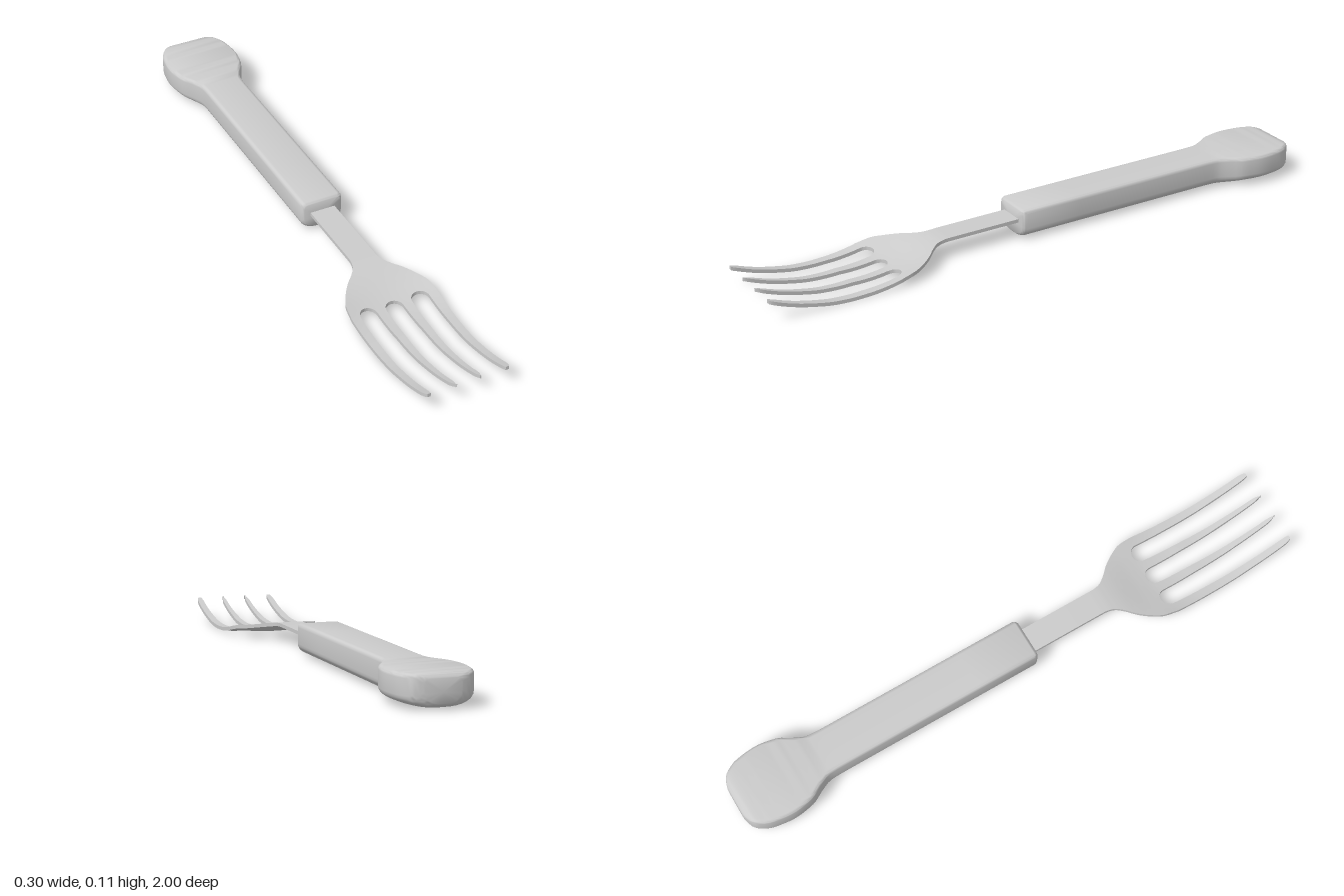
import * as THREE from 'three';
import { mergeGeometries, toCreasedNormals } from 'three/addons/utils/BufferGeometryUtils.js';

// Smooth curve through [position, value] points, without overshoot
function curve(pts) {
  const slope = i => (pts[i + 1][1] - pts[i][1]) / (pts[i + 1][0] - pts[i][0]);
  const tangent = i => {
    if (i === 0) return slope(0);
    if (i === pts.length - 1) return slope(i - 1);
    const a = slope(i - 1), b = slope(i);
    return a * b <= 0 ? 0 : (2 * a * b) / (a + b);
  };
  return z => {
    let i = 0;
    while (i < pts.length - 2 && z > pts[i + 1][0]) i++;
    const d = pts[i + 1][0] - pts[i][0];
    const t = THREE.MathUtils.clamp((z - pts[i][0]) / d, 0, 1);
    const t2 = t * t, t3 = t2 * t;
    return (2 * t3 - 3 * t2 + 1) * pts[i][1] + (t3 - 2 * t2 + t) * d * tangent(i)
      + (3 * t2 - 2 * t3) * pts[i + 1][1] + (t3 - t2) * d * tangent(i + 1);
  };
}

// Skin over rings ordered by rising z, each clockwise seen from +z
function loft(rings, skip = () => false) {
  const n = rings[0].length, last = rings.length - 1;
  const pos = rings.flat(2), idx = [];
  for (let i = 0; i < last; i++) {
    for (let j = 0; j < n; j++) {
      if (skip(i, j)) continue;
      const k = (j + 1) % n;
      const a = i * n + j, b = i * n + k;
      idx.push(a, a + n, b, b, a + n, b + n);
    }
  }
  for (const end of [0, last]) {
    const centre = pos.length / 3;
    for (let c = 0; c < 3; c++) pos.push(rings[end].reduce((s, p) => s + p[c], 0) / n);
    for (let j = 0; j < n; j++) {
      const a = end * n + j, b = end * n + (j + 1) % n;
      if (end === 0) idx.push(centre, a, b);
      else idx.push(centre, b, a);
    }
  }
  const g = new THREE.BufferGeometry();
  g.setAttribute('position', new THREE.Float32BufferAttribute(pos, 3));
  g.setIndex(idx);
  return g;
}

// Handle: flat top, rounded belly, widening to a round end
function handleGeometry() {
  const width = curve([[-1, 0.055], [-0.99, 0.082], [-0.97, 0.102], [-0.93, 0.12], [-0.86, 0.128],
    [-0.79, 0.117], [-0.74, 0.09], [-0.7, 0.074], [-0.66, 0.072], [0.07, 0.072]]);
  const bottom = curve([[-1, 0.008], [-0.8, 0.008], [-0.74, 0.005], [0.07, 0.005]]);
  const inset = curve([[-1, 0.014], [-0.995, 0.007], [-0.985, 0.002], [-0.97, 0], [0.055, 0], [0.065, 0.003], [0.07, 0.008]]);
  const stations = [-1, -0.998, -0.995, -0.99, -0.985, -0.98];
  for (let z = -0.97; z < -0.645; z += 0.015) stations.push(z);
  stations.push(-0.4, -0.15, 0.055, 0.06, 0.065, 0.068, 0.07);
  const rings = stations.map(z => {
    const e = inset(z), w = width(z) - (z > 0 ? e : 0), top = 0.109 - e, low = bottom(z) + e;
    const half = [];
    // rounded top edge
    const r = 0.014;
    for (let k = 0; k <= 4; k++) {
      const a = (k / 4) * Math.PI / 2;
      half.push([w - r + r * Math.sin(a), top - r + r * Math.cos(a), z]);
    }
    // rounded belly
    const h = 0.037;
    for (let k = 0; k <= 8; k++) {
      const a = (k / 8) * Math.PI / 2;
      half.push([w * Math.pow(Math.cos(a), 0.75), low + h - h * Math.pow(Math.sin(a), 0.9), z]);
    }
    half[half.length - 1][0] = 0;
    const mirrored = half.slice(0, -1).reverse().map(([x, y, q]) => [-x, y, q]);
    return [...mirrored, ...half];
  });
  return toCreasedNormals(loft(rings), 0.75);
}

// Fork head: four ribbons that join in the palm and part into tines
function headGeometry() {
  const slotStart = 0.53, slotRound = 0.56, tip = 1;
  const profile = curve([[0.03, 0.07], [0.32, 0.07], [0.4, 0.063], [0.5, 0.046], [0.6, 0.024], [0.66, 0.017],
    [0.72, 0.015], [0.78, 0.018], [0.85, 0.03], [0.92, 0.048], [1, 0.077]]);
  const outline = curve([[0.03, 0.043], [0.34, 0.043], [0.37, 0.048], [0.4, 0.068], [0.43, 0.097],
    [0.47, 0.125], [0.51, 0.144], [0.56, 0.1505]]);
  const dish = curve([[0.03, 0], [0.36, 0], [0.52, 0.014], [0.58, 0.009], [0.68, 0]]);
  const tineHalf = z => {
    const h = THREE.MathUtils.mapLinear(Math.max(z, slotRound), slotRound, tip, 0.0155, 0.008);
    const t = Math.max(0, (z - 0.965) / 0.035);
    return Math.max(0.0012, h * Math.sqrt(Math.max(0, 1 - t * t)));
  };
  const outer = z => (z < slotRound ? outline(z) : 0.135 + tineHalf(z));
  const slotHalf = z => {
    if (z <= slotStart) return 0;
    if (z >= slotRound) return 0.045 - tineHalf(z);
    return 0.0295 * Math.sqrt(1 - ((slotRound - z) / (slotRound - slotStart)) ** 2);
  };

  const stations = [0.03, 0.2, 0.31];
  for (let z = 0.33; z < 0.525; z += 0.01) stations.push(z);
  for (let k = 0; k <= 8; k++) stations.push(slotRound - 0.03 * Math.cos((k / 8) * Math.PI / 2));
  for (let z = 0.58; z < 0.965; z += 0.02) stations.push(z);
  for (const t of [0, 0.3, 0.55, 0.75, 0.9, 0.97, 1]) stations.push(0.965 + 0.035 * t);

  const across = 4, thick = 0.012;
  const ribbons = [0, 1, 2, 3].map(i => {
    // Edge k of 0..4 across the head; side is the ribbon's side of that slot
    const edge = (k, z, side) => {
      if (k === 0 || k === 4) return (k === 0 ? -1 : 1) * outer(z);
      return (k - 2) * Math.min(0.09, 0.6 * outer(z)) + side * slotHalf(z);
    };
    const rings = stations.map(z => {
      const a = edge(i, z, 1), b = edge(i + 1, z, -1), top = [];
      for (let k = 0; k <= across; k++) {
        const x = a + (b - a) * k / across;
        const y = profile(z) - dish(z) * Math.max(0, 1 - (x / 0.15) ** 2);
        top.push([x, y, z]);
      }
      return [...top, ...top.slice().reverse().map(([x, y, q]) => [x, y - thick, q])];
    });
    // Leave out the walls where neighbouring ribbons are joined
    const joined = s => slotHalf(stations[s + 1]) === 0;
    return loft(rings, (s, j) => joined(s)
      && ((j === across && i < 3) || (j === 2 * across + 1 && i > 0)));
  });
  return toCreasedNormals(mergeGeometries(ribbons), 0.7);
}

export function createModel() {
  const group = new THREE.Group();
  group.name = 'fork';
  const material = new THREE.MeshStandardMaterial({ color: 0xcccccc });
  const add = (name, geometry) => {
    const mesh = new THREE.Mesh(geometry, material);
    mesh.name = name;
    group.add(mesh);
  };
  add('handle', handleGeometry());
  add('forkHead', headGeometry());
  return group;
}
